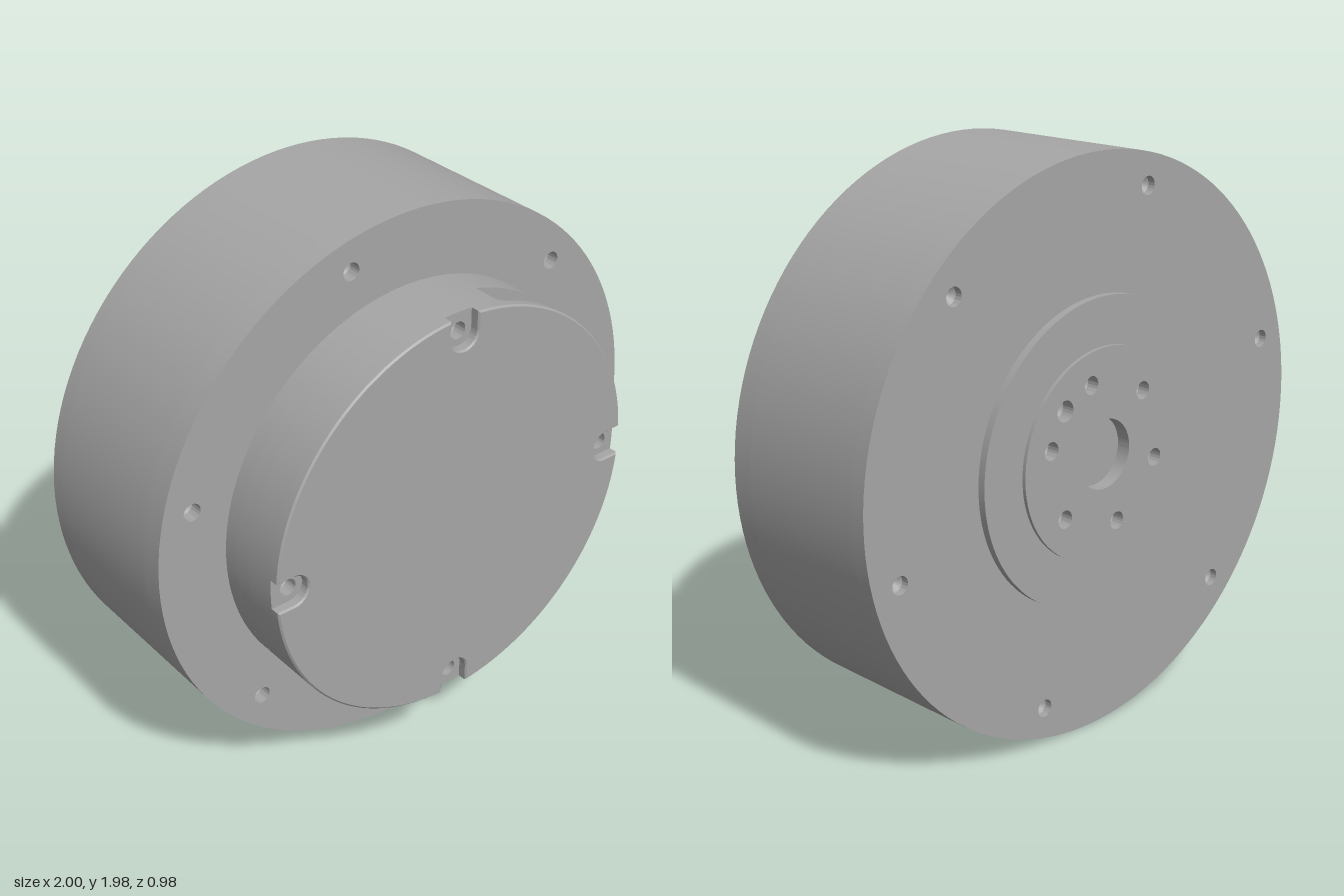
import * as THREE from 'three';
import { toCreasedNormals } from 'three/addons/utils/BufferGeometryUtils.js';

const RAD = Math.PI / 180;
const DRUM_R = 0.992, CAP_R = 0.74, HUB_R = 0.365, HOLE_R = 0.031;

export function createModel() {
  const grey = new THREE.MeshStandardMaterial({ color: 0xa6a6a6, side: THREE.DoubleSide });
  grey.name = 'machined grey';

  const model = new THREE.Group();
  model.name = 'flangedMotor';
  const body = new THREE.Group();
  body.name = 'body';
  body.position.set(-0.003, DRUM_R, 0);
  body.rotation.y = -0.028; // the whole unit sits slightly turned
  model.add(body);

  const add = (name, geometry) => {
    const mesh = new THREE.Mesh(geometry, grey);
    mesh.name = name;
    body.add(mesh);
    return mesh;
  };

  const polar = (r, degrees) => [r * Math.cos(degrees * RAD), r * Math.sin(degrees * RAD)];

  // Disc outline with round holes given as [x, y, radius]
  const disc = (r, holes = []) => pierce(new THREE.Shape().absarc(0, 0, r, 0, Math.PI * 2, false), holes);
  const pierce = (shape, holes) => {
    for (const [x, y, r] of holes) {
      shape.holes.push(new THREE.Path().absarc(x, y, r, 0, Math.PI * 2, true));
    }
    return shape;
  };

  // Solid layer between two z levels
  const layer = (name, shape, z0, z1, bevel = 0) => {
    const geometry = new THREE.ExtrudeGeometry(shape, {
      depth: z1 - z0 - bevel, curveSegments: 64, bevelEnabled: bevel > 0,
      bevelThickness: bevel, bevelSize: bevel, bevelOffset: -bevel, bevelSegments: 1,
    });
    geometry.translate(0, 0, z0);
    return add(name, toCreasedNormals(geometry, 0.5));
  };

  // Conical bottoms of drilled holes; facing is +1 for front holes, -1 for back
  const drillTips = (name, holes, zBase, facing) => {
    for (const [x, y, r] of holes) {
      const cone = new THREE.ConeGeometry(r, 0.025, 24, 1, true);
      cone.rotateX(-facing * Math.PI / 2);
      cone.translate(x, y, zBase - facing * 0.0125);
      add(name, cone);
    }
  };

  // Main drum with six blind holes on each face
  const ringHoles = [0, 1, 2, 3, 4, 5].map(i => [...polar(0.885, 45 + 60 * i), HOLE_R]);
  layer('drumFrontFace', disc(DRUM_R, ringHoles), 0.11, 0.19);
  layer('drumCore', disc(DRUM_R), -0.39, 0.11);
  layer('drumBackFace', disc(DRUM_R, [...ringHoles, [0, 0, HUB_R]]), -0.445, -0.39);
  drillTips('frontHoleTip', ringHoles, 0.145, 1);
  drillTips('backHoleTip', ringHoles, -0.418, -1);

  // Raised ring and output hub on the back
  layer('backRing', disc(0.53, [[0, 0, HUB_R]]), -0.472, -0.44);
  const hubHoles = [0, 1, 2, 3, 4, 5].map(i => [...polar(0.257, 15 + 60 * i), HOLE_R]);
  hubHoles.push([...polar(0.264, 45), 0.036]);
  layer('outputHub', disc(HUB_R, [...hubHoles, [0, 0, 0.12]]), -0.485, -0.39);
  layer('hubCentreFloor', disc(0.12), -0.435, -0.385);
  drillTips('hubHoleTip', hubHoles, -0.44, -1);

  // Cap outline with a recess cut into its side between two angles
  const recessed = (from, to, floorR) => new THREE.Shape()
    .absarc(0, 0, CAP_R, to * RAD, from * RAD + Math.PI * 2, false)
    .absarc(0, 0, floorR, from * RAD, to * RAD, false);

  // Cap sleeve: plain base, keyed tab, then the long connector slot
  const screws = [0, 90, 180, 270].map(a => [...polar(0.675, a), 0.03]);
  layer('capBase', disc(CAP_R), 0.18, 0.25);
  layer('capSlotTab', recessed(41.2, 46, 0.7), 0.25, 0.315);
  layer('capSlot', pierce(recessed(10.5, 76.5, 0.7), screws), 0.315, 0.43);
  drillTips('screwHoleTip', screws, 0.385, 1);

  // Front cover with four U-shaped screw notches
  const w = 0.055, halfAngle = Math.asin(w / CAP_R);
  const cover = new THREE.Shape();
  for (let i = 0; i < 4; i++) {
    const a = i * Math.PI / 2;
    cover.absarc(0.675 * Math.cos(a), 0.675 * Math.sin(a), w, a - Math.PI / 2, a - Math.PI * 1.5, true);
    cover.absarc(0, 0, CAP_R, a + halfAngle, a + Math.PI / 2 - halfAngle, false);
  }
  layer('frontCover', cover, 0.43, 0.465, 0.006);

  return model;
}
